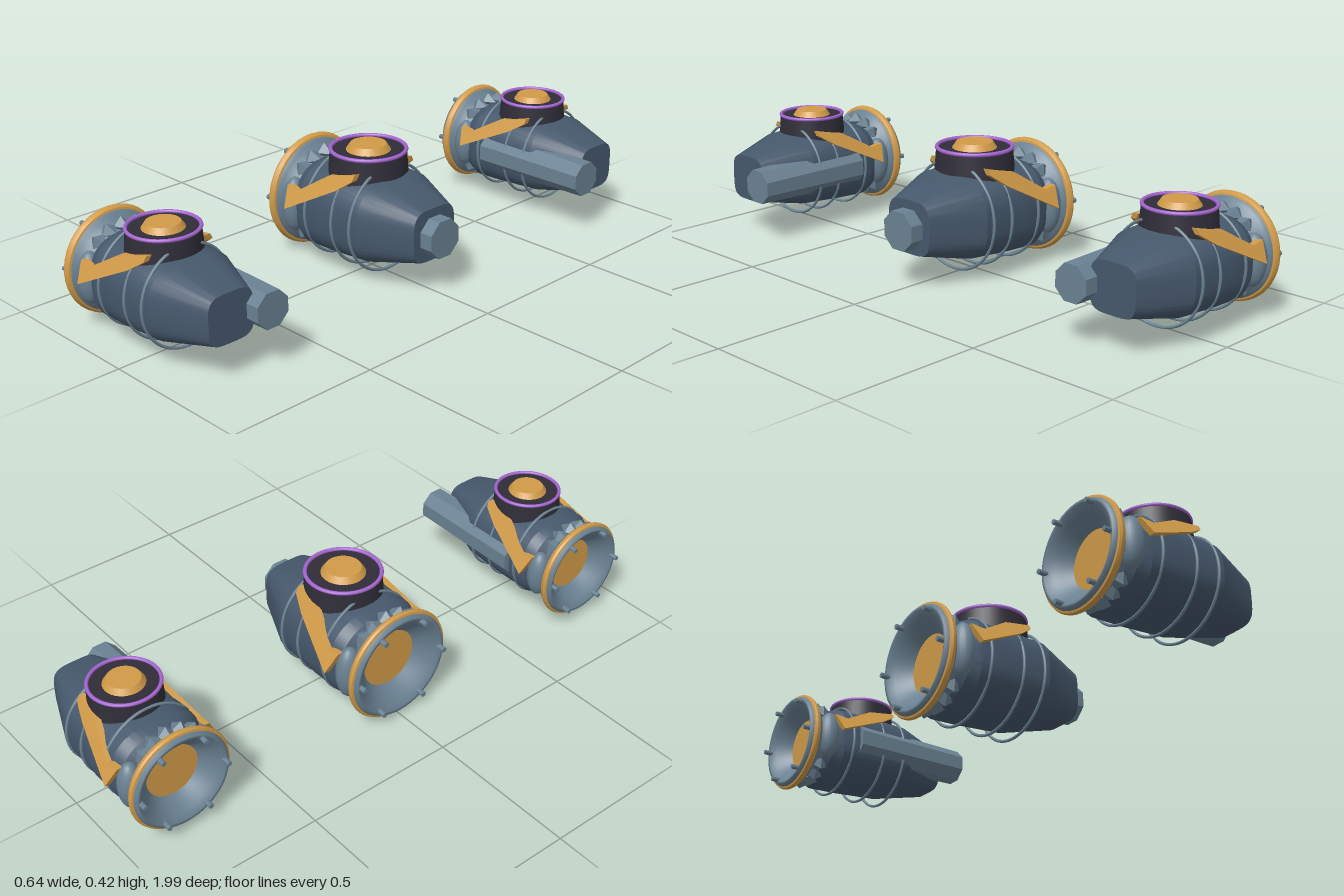
import * as THREE from 'three';
import { toCreasedNormals } from 'three/addons/utils/BufferGeometryUtils.js';

const mat = (name, color) => Object.assign(new THREE.MeshStandardMaterial({ color }), { name });

const AXIS_Y = 0.193;   // height of the engine axis
const TURRET_X = -0.016;

export function createModel() {
  const hull = mat('hull blue', 0x46586c);
  const steel = mat('steel', 0x6a8192);
  const gold = mat('gold', 0xd09a48);
  const dark = mat('dark base', 0x302d38);
  const purple = mat('purple trim', 0xa564d0);

  const add = (parent, name, geo, material, x = 0, y = 0, z = 0) => {
    const m = new THREE.Mesh(geo, material);
    m.name = name;
    m.position.set(x, y, z);
    parent.add(m);
    return m;
  };

  // Hull: rounded-square sections along x [x, top, bottom, half width, squareness]
  const hullGeometry = () => {
    const sections = [
      [-0.215, 0, 0, 0, 2.4],
      [-0.215, 0.118, -0.118, 0.13, 2.4],
      [-0.195, 0.138, -0.138, 0.155, 2.5],
      [-0.16, 0.15, -0.149, 0.17, 2.7],
      [-0.06, 0.15, -0.142, 0.173, 2.8],
      [0.1, 0.142, -0.127, 0.17, 2.9],
      [0.273, 0.09, -0.083, 0.09, 4],
      [0.273, 0.0, 0.0, 0, 4],
    ];
    const N = 40, pos = [], idx = [];
    for (const [x, top, bottom, w, n] of sections) {
      for (let j = 0; j < N; j++) {
        const t = (j / N) * Math.PI * 2, c = Math.cos(t), s = Math.sin(t);
        const pow = (v) => Math.sign(v) * Math.abs(v) ** (2 / n);
        pos.push(x, pow(s) * (s > 0 ? top : -bottom), pow(c) * w);
      }
    }
    for (let i = 0; i < sections.length - 1; i++) {
      for (let j = 0; j < N; j++) {
        const k = (j + 1) % N, a = i * N + j, b = i * N + k, c = a + N, d = b + N;
        if (i > 0) idx.push(a, c, b);
        if (i < sections.length - 2) idx.push(b, c, d);
      }
    }
    const g = new THREE.BufferGeometry();
    g.setAttribute('position', new THREE.Float32BufferAttribute(pos, 3));
    g.setIndex(idx);
    return toCreasedNormals(g, 0.4);
  };

  // Lathe about the x axis from [radius, distance toward -x]
  const latheX = (pts, seg) =>
    new THREE.LatheGeometry(pts.map((p) => new THREE.Vector2(...p)), seg).rotateZ(Math.PI / 2);
  const cylinderX = (r0, r1, length, seg) =>
    new THREE.CylinderGeometry(r0, r1, length, seg, 1, false, Math.PI / seg).rotateZ(-Math.PI / 2);

  // Swept fin: flat outline leaned against the hull shoulder
  const finGeometry = (side) => {
    const outline = [[-0.205, 0.078], [-0.184, 0.011], [-0.003, 0.109], [0.05, 0.148],
      [0.052, 0.167], [-0.05, 0.143], [-0.157, 0.072]];
    const shape = new THREE.Shape(outline.map((p) => new THREE.Vector2(...p)));
    const g = new THREE.ExtrudeGeometry(shape, { depth: 0.022, bevelEnabled: false });
    if (side < 0) g.translate(0, 0, -0.022);
    const p = g.attributes.position;
    for (let i = 0; i < p.count; i++) {
      const lean = 0.19 - 0.55 * (p.getY(i) - 0.011);
      p.setZ(i, p.getZ(i) + side * lean);
    }
    g.computeVertexNormals();
    return g;
  };

  const steelFlat = steel.clone();
  steelFlat.name = 'faceted steel';
  steelFlat.flatShading = true;

  const makePod = (name, z, s) => {
    const pod = new THREE.Group();
    pod.name = name;
    pod.position.set(0, AXIS_Y, z);
    pod.scale.set(1, s, s);

    add(pod, 'hull', hullGeometry(), hull);

    // Exhaust bell, gold rim and glowing core disc
    const bell = [[0.125, 0.2], [0.142, 0.235], [0.168, 0.252], [0.181, 0.268], [0.181, 0.285],
      [0.173, 0.299], [0.163, 0.298], [0.14, 0.282], [0.115, 0.256], [0.095, 0.235]];
    add(pod, 'exhaustBell', latheX(bell, 48), steel);
    const rim = [[0.176, 0.262], [0.183, 0.264], [0.189, 0.272], [0.19, 0.278], [0.187, 0.285],
      [0.176, 0.288]];
    add(pod, 'exhaustRim', toCreasedNormals(latheX(rim, 48), 0.5), gold);
    add(pod, 'exhaustCore', cylinderX(0.1, 0.1, 0.01, 40), gold, -0.233);

    // Bolts around the bell
    for (let i = 0; i < 6; i++) {
      const a = (i * Math.PI) / 3;
      add(pod, 'bolt', cylinderX(0.009, 0.009, 0.04, 8), steelFlat,
        -0.3, Math.sin(a) * 0.16, Math.cos(a) * 0.16);
    }

    // Faceted clamps between bell and hull
    for (const deg of [50, 70, 90, 110, 130, 230, 250, 270, 290, 310]) {
      const a = (deg * Math.PI) / 180;
      const clamp = add(pod, 'clamp', new THREE.OctahedronGeometry(1), steelFlat,
        -0.222, Math.sin(a) * 0.142, Math.cos(a) * 0.142);
      clamp.scale.set(0.04, 0.03, 0.03);
      clamp.rotation.x = -a;
    }

    // Cheeks, fins on both sides
    for (const side of [1, -1]) {
      const cheek = add(pod, 'cheek', new THREE.SphereGeometry(1, 24, 16), steel,
        -0.213, 0, side * 0.138);
      cheek.scale.set(0.038, 0.092, 0.045);
      add(pod, 'fin', finGeometry(side), gold);
    }

    // Hoops that surface on the flats of the hull
    for (const x of [-0.127, -0.005, 0.076]) {
      add(pod, 'hoop', new THREE.TorusGeometry(0.176, 0.005, 8, 56).rotateY(Math.PI / 2), steel, x);
    }

    // Turret on top
    const turret = new THREE.Group();
    turret.name = 'turret';
    turret.position.x = TURRET_X;
    turret.scale.x = s;
    pod.add(turret);
    add(turret, 'turretBase', new THREE.CylinderGeometry(0.122, 0.132, 0.125, 40), dark, 0, 0.1425);
    add(turret, 'turretRing', new THREE.TorusGeometry(0.12, 0.0065, 10, 48).rotateX(Math.PI / 2),
      purple, 0, 0.208);
    add(turret, 'turretCap', new THREE.CylinderGeometry(0.058, 0.073, 0.022, 32), gold, 0, 0.214);
    return pod;
  };

  const model = new THREE.Group();
  model.name = 'enginePods';
  model.add(makePod('centrePod', 0, 1), makePod('leftPod', 0.807, 0.89), makePod('rightPod', -0.807, 0.89));

  // Couplings: short on the centre pod, long pipes on the inner flanks of the others
  add(model, 'centreCoupling', cylinderX(0.066, 0.066, 0.1, 8), steelFlat, 0.269, AXIS_Y);
  for (const side of [1, -1]) {
    add(model, 'sidePipe', cylinderX(0.06, 0.067, 0.42, 8), steelFlat, 0.109, AXIS_Y + 0.003, side * 0.696);
  }
  return model;
}
